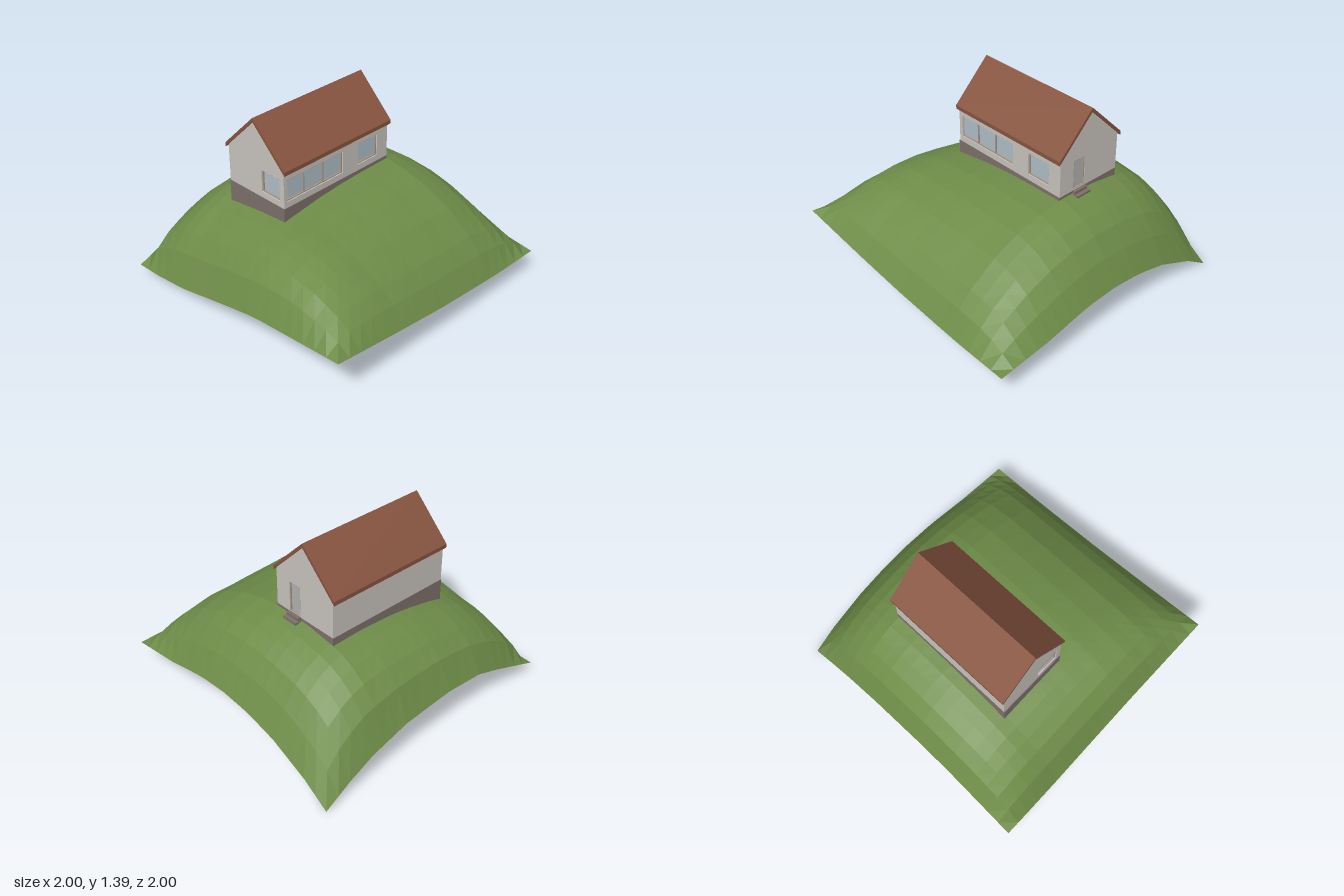
import * as THREE from 'three';

const mat = (color, extra = {}) => new THREE.MeshStandardMaterial({ color, ...extra });
const grass = mat(0x6e8c48, { flatShading: true, side: THREE.DoubleSide });
const tile = mat(0x875540);
const plaster = mat(0xc8c4be);
const stone = mat(0x7d706a);
const frameMat = mat(0xa89888);
const glassMat = mat(0xb0bfc8);
const doorMat = mat(0xb2b2b2);

// Piecewise linear curve through [position, height] pairs
function curve(points) {
  return (t) => {
    let i = 1;
    while (i < points.length - 1 && t > points[i][0]) i++;
    const [a, ya] = points[i - 1], [b, yb] = points[i];
    return ya + ((t - a) / (b - a)) * (yb - ya);
  };
}

// Heights along the four borders of the ground
const frontEdge = curve([[-1, 0.4], [-0.4, 0.315], [0, 0.265], [0.4, 0.23], [0.6, 0.215], [1, 0.2]]);
const backEdge = curve([[-1, 0.1], [-0.6, 0.25], [-0.4, 0.315], [-0.1, 0.335], [0.3, 0.3], [0.6, 0.215], [0.8, 0.12], [1, 0]]);
const leftEdge = curve([[-1, 0], [-0.8, 0.13], [-0.5, 0.26], [-0.25, 0.32], [0, 0.34], [0.25, 0.325], [0.6, 0.25], [1, 0.2]]);
const rightEdge = curve([[-1, 0.1], [-0.8, 0.11], [-0.5, 0.15], [0, 0.27], [0.25, 0.325], [1, 0.4]]);

// Hill section across x (at z = 0) and along z (at x = 0.5)
const acrossHill = curve([[-1, 0.27], [-0.9, 0.48], [-0.8, 0.59], [-0.7, 0.645], [-0.6, 0.685], [-0.5, 0.71], [-0.2, 0.755],
  [0, 0.775], [0.2, 0.785], [0.5, 0.79], [0.6, 0.765], [0.7, 0.725], [0.8, 0.65], [0.9, 0.52], [1, 0.34]]);
const alongHill = curve([[-1, 0.245], [-0.9, 0.49], [-0.8, 0.61], [-0.7, 0.685], [-0.6, 0.73], [-0.5, 0.755], [-0.25, 0.79],
  [0, 0.79], [0.2, 0.765], [0.4, 0.71], [0.6, 0.62], [0.8, 0.48], [0.9, 0.375], [1, 0.22]]);

// Sheet stretched between the borders
function sheet(x, z) {
  const u = (x + 1) / 2, v = (z + 1) / 2;
  const L = THREE.MathUtils.lerp;
  return L(backEdge(x), frontEdge(x), v) + L(rightEdge(z), leftEdge(z), u) - L(L(0.1, 0, u), L(0.4, 0.2, u), v);
}

function groundHeight(x, z) {
  const rise = (acrossHill(x) - sheet(x, 0)) * (alongHill(z) - sheet(0.5, z));
  return sheet(x, z) + rise / (0.79 - sheet(0.5, 0));
}

function makeGround() {
  const geo = new THREE.PlaneGeometry(2, 2, 20, 20).rotateX(-Math.PI / 2);
  const p = geo.attributes.position;
  for (let i = 0; i < p.count; i++) p.setY(i, groundHeight(p.getX(i), p.getZ(i)));
  geo.computeVertexNormals();
  return geo;
}

const polygon = (pts) => new THREE.Shape(pts.map(([x, y]) => new THREE.Vector2(x, y)));
const rect = (a, b, c, d) => [[a, c], [b, c], [b, d], [a, d]];

function extrude(points, depth, holes = []) {
  const shape = polygon(points);
  shape.holes = holes.map((h) => polygon(rect(...h)));
  return new THREE.ExtrudeGeometry(shape, { depth, bevelEnabled: false });
}

// Box given by its limits on each axis
function block(x0, x1, y0, y1, z0, z1) {
  return new THREE.BoxGeometry(x1 - x0, y1 - y0, z1 - z0).translate((x0 + x1) / 2, (y0 + y1) / 2, (z0 + z1) / 2);
}

function add(parent, name, geo, material) {
  const mesh = new THREE.Mesh(geo, material);
  mesh.name = name;
  parent.add(mesh);
  return mesh;
}

// Recessed window facing +z with its outer face at z = 0
function makeWindow(name, x0, x1, y0, y1, panes) {
  const g = new THREE.Group();
  g.name = name;
  const t = 0.008, step = (x1 - x0 - t) / panes;
  const holes = [];
  for (let i = 0; i < panes; i++) holes.push([x0 + i * step + t, x0 + (i + 1) * step, y0 + t, y1 - t]);
  add(g, 'windowFrame', extrude(rect(x0, x1, y0, y1), 0.014, holes).translate(0, 0, -0.022), frameMat);
  add(g, 'windowGlass', block(x0, x1, y0, y1, -0.024, -0.018), glassMat);
  return g;
}

export function createModel() {
  const model = new THREE.Group();
  model.name = 'houseOnHill';
  add(model, 'grassHill', makeGround(), grass);

  const house = new THREE.Group();
  house.name = 'house';
  model.add(house);
  const X = 0.5, FRONT = 0.02, BACK = -0.52, RIDGE = -0.25, BASE = 0.81, EAVE = 1.09, APEX = 1.36, T = 0.03;

  add(house, 'foundation', block(-X - 0.005, X, 0.63, BASE, BACK, FRONT + 0.003), stone);

  // Long walls
  const wide = [-0.495, 0.05, 0.855, 1.02], small = [0.2, 0.395, 0.855, 1.02];
  add(house, 'frontWall', extrude(rect(-X, X, BASE, EAVE), T, [wide, small]).translate(0, 0, FRONT - T), plaster);
  add(house, 'backWall', block(-X, X, BASE, EAVE, BACK, BACK + T), plaster);
  for (const [name, size, panes] of [['wideWindow', wide, 3], ['smallWindow', small, 1]]) {
    const w = makeWindow(name, ...size, panes);
    w.position.z = FRONT;
    house.add(w);
  }

  // Gable walls, drawn facing +z and turned to the sides
  const gable = (s) => [[s * FRONT, BASE], [s * FRONT, EAVE], [s * RIDGE, APEX], [s * BACK, EAVE], [s * BACK, BASE]];
  const leftSide = new THREE.Group();
  leftSide.name = 'doorGable';
  leftSide.rotation.y = Math.PI / 2;
  leftSide.position.x = X;
  const door = [0.105, 0.21, 0.815, 1.04];
  add(leftSide, 'gableWall', extrude(gable(-1), T, [door]).translate(0, 0, -T), plaster);
  add(leftSide, 'doorFrame', extrude(rect(...door), 0.014, [[0.112, 0.203, 0.82, 1.033]]).translate(0, 0, -0.018), frameMat);
  add(leftSide, 'door', block(...door, -0.024, -0.014), doorMat);
  house.add(leftSide);

  const rightSide = new THREE.Group();
  rightSide.name = 'windowGable';
  rightSide.rotation.y = -Math.PI / 2;
  rightSide.position.x = -X;
  const side = [-0.195, -0.02, 0.855, 1.02];
  add(rightSide, 'gableWall', extrude(gable(1), T, [side]).translate(0, 0, -T), plaster);
  rightSide.add(makeWindow('sideWindow', ...side, 1));
  house.add(rightSide);

  // Gabled roof with plumb-cut eaves
  const roof = extrude([[-0.04, 1.1], [0.25, 1.39], [0.54, 1.1], [0.54, 1.07], [0.25, 1.36], [-0.04, 1.07]], 1.02);
  add(house, 'roof', roof.rotateY(Math.PI / 2).translate(-0.51, 0, 0), tile);

  // Entrance steps
  add(house, 'upperStep', block(X, 0.526, 0.75, 0.815, -0.215, -0.1), stone);
  add(house, 'lowerStep', block(X, 0.553, 0.74, 0.793, -0.22, -0.097), stone);
  return model;
}
